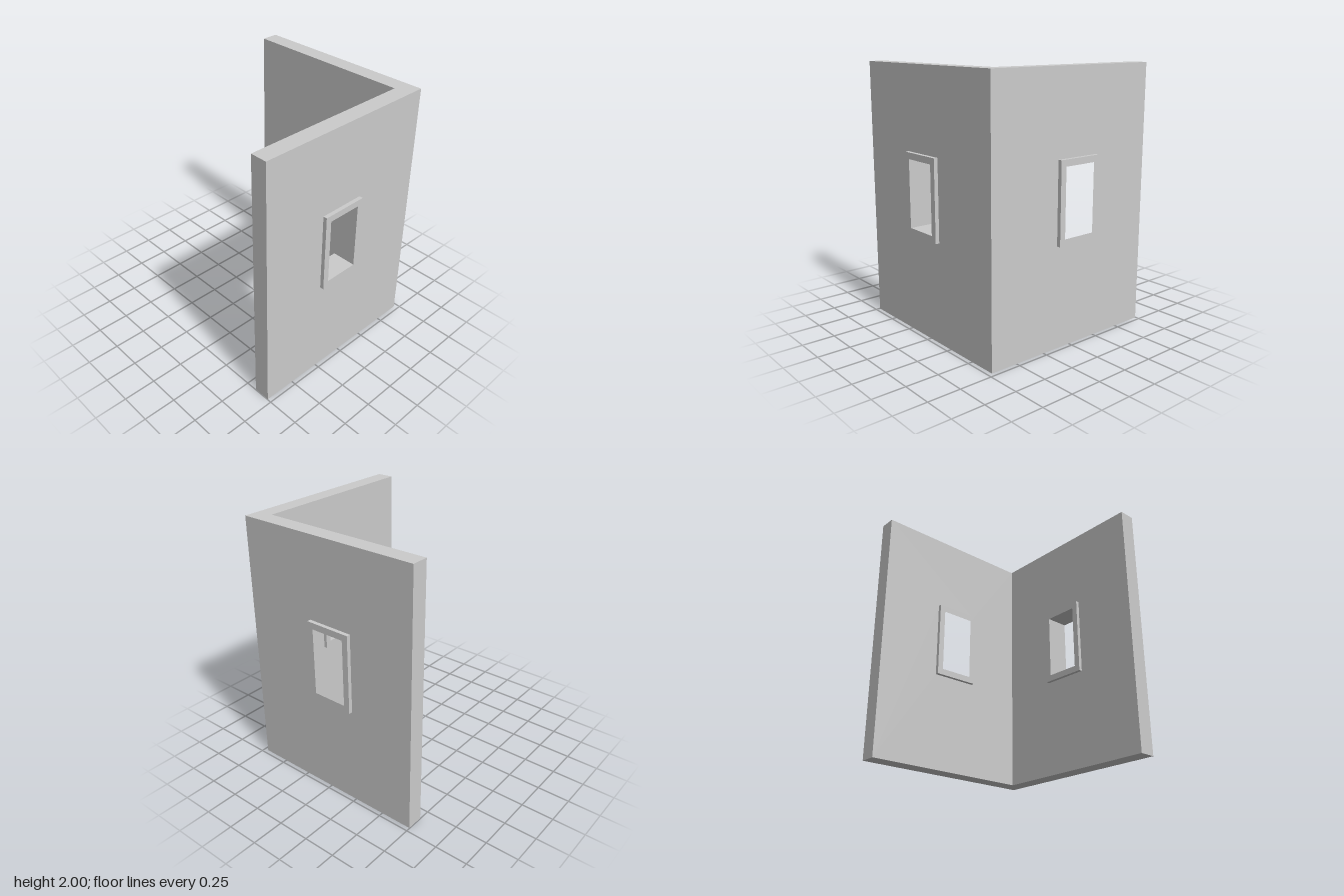
import * as THREE from 'three';

const FAR = -0.747, OUTER = 0.716, INNER = 0.587; // wall free end, outer face, inner face
const FRAME = [-0.232, 0.765, 0.132, 1.375];      // window frame outline: u0, y0, u1, y1
const OPENING = [-0.185, 0.814, 0.085, 1.326];    // clear opening

const material = new THREE.MeshStandardMaterial({ color: 0xcccccc, flatShading: true });

// Rectangle outline; side = -1 mirrors it along the wall
function rect(Type, [u0, y0, u1, y1], side) {
  return new Type([[u0, y0], [u1, y0], [u1, y1], [u0, y1]].map(([u, y]) => new THREE.Vector2(u * side, y)));
}

// Rectangular slab with a rectangular hole, spanning z0..z1
function panel(name, outline, hole, z0, z1, side) {
  const shape = rect(THREE.Shape, outline, side);
  shape.holes.push(rect(THREE.Path, hole, side));
  const geometry = new THREE.ExtrudeGeometry(shape, { depth: z1 - z0, bevelEnabled: false });
  geometry.translate(0, 0, z0);
  const mesh = new THREE.Mesh(geometry, material);
  mesh.name = name;
  return mesh;
}

// Wall with a framed window through it
function windowWall(name, end, side) {
  const group = new THREE.Group();
  group.name = name;
  group.add(
    panel(name + 'Panel', [FAR, 0, end, 2], FRAME, INNER, OUTER, side),
    panel(name + 'WindowFrame', FRAME, OPENING, 0.559, 0.746, side)
  );
  return group;
}

export function createModel() {
  const model = new THREE.Group();
  model.name = 'cornerWalls';

  // Front wall runs the full width and includes the corner
  model.add(windowWall('frontWall', OUTER, 1));

  // Left wall mirrors it and butts against its inner face
  const left = windowWall('leftWall', INNER, -1);
  left.rotation.y = Math.PI / 2;
  model.add(left);

  return model;
}
